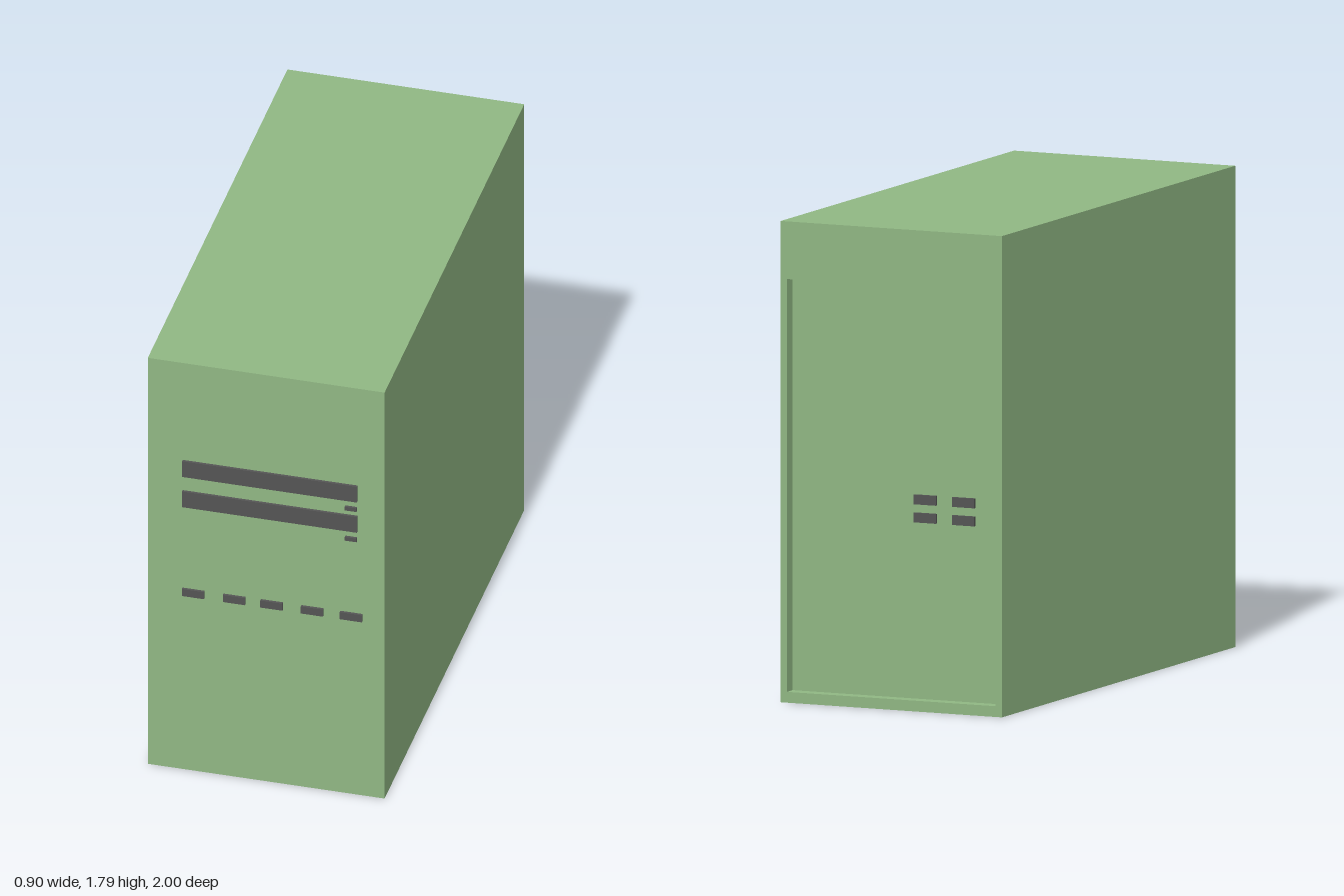
import * as THREE from 'three';

const green = new THREE.MeshStandardMaterial({ color: 0x90b783 });
const dark = new THREE.MeshStandardMaterial({ color: 0x555555 });

const W = 0.9, H = 1.786, BACK = -1, FRONT = 0.99;
// Opening in the back and how deep its panel sits
const hole = { x: 0.425, y0: 0.04, y1: 1.572, depth: 0.05 };
const PROUD = 0.01;

function add(parent, name, geometry, material) {
  const mesh = new THREE.Mesh(geometry, material);
  mesh.name = name;
  parent.add(mesh);
  return mesh;
}

// Box given by its limits on each axis
function boxBetween(x0, x1, y0, y1, z0, z1) {
  return new THREE.BoxGeometry(x1 - x0, y1 - y0, z1 - z0)
    .translate((x0 + x1) / 2, (y0 + y1) / 2, (z0 + z1) / 2);
}

// Box without its -z face; inward turns the walls to face the inside
function openBox(geometry, inward) {
  const index = Array.from(geometry.index.array).slice(0, 30);
  geometry.clearGroups();
  geometry.setIndex(inward ? index.reverse() : index);
  geometry.computeVertexNormals();
  return geometry;
}

function rectangle(Type, x0, x1, y0, y1) {
  const r = new Type();
  r.moveTo(x0, y0).lineTo(x1, y0).lineTo(x1, y1).lineTo(x0, y1).closePath();
  return r;
}

export function createModel() {
  const model = new THREE.Group();
  model.name = 'computerTower';

  // Case: outer shell, back rim and recessed back panel
  const body = new THREE.Group();
  body.name = 'case';
  model.add(body);
  add(body, 'outerShell', openBox(boxBetween(-W / 2, W / 2, 0, H, BACK, FRONT), false), green);

  const rim = rectangle(THREE.Shape, -W / 2, W / 2, 0, H);
  rim.holes.push(rectangle(THREE.Path, -hole.x, hole.x, hole.y0, hole.y1));
  add(body, 'backRim', new THREE.ShapeGeometry(rim).rotateY(Math.PI).translate(0, 0, BACK), green);

  const panelZ = BACK + hole.depth;
  add(body, 'backRecess',
    openBox(boxBetween(-hole.x, hole.x, hole.y0, hole.y1, BACK, panelZ), true), green);

  // Two drive bays, each with an eject button below its +x end
  for (const top of [1.36, 1.227]) {
    add(model, 'driveBay', boxBetween(-0.317, 0.347, top - 0.069, top, FRONT, FRONT + PROUD), dark);
    add(model, 'ejectButton',
      boxBetween(0.301, 0.346, top - 0.111, top - 0.095, FRONT, FRONT + PROUD), dark);
  }

  // Row of front buttons
  for (const x of [-0.276, -0.12, 0.022, 0.176, 0.324]) {
    add(model, 'frontButton',
      boxBetween(x - 0.042, x + 0.042, 0.767, 0.798, FRONT, FRONT + PROUD), dark);
  }

  // Two by two ports on the back panel
  for (const x of [-0.117, -0.273]) {
    for (const y of [0.78, 0.713]) {
      add(model, 'backPort',
        boxBetween(x - 0.045, x + 0.045, y - 0.018, y + 0.018, panelZ - PROUD, panelZ), dark);
    }
  }

  return model;
}
